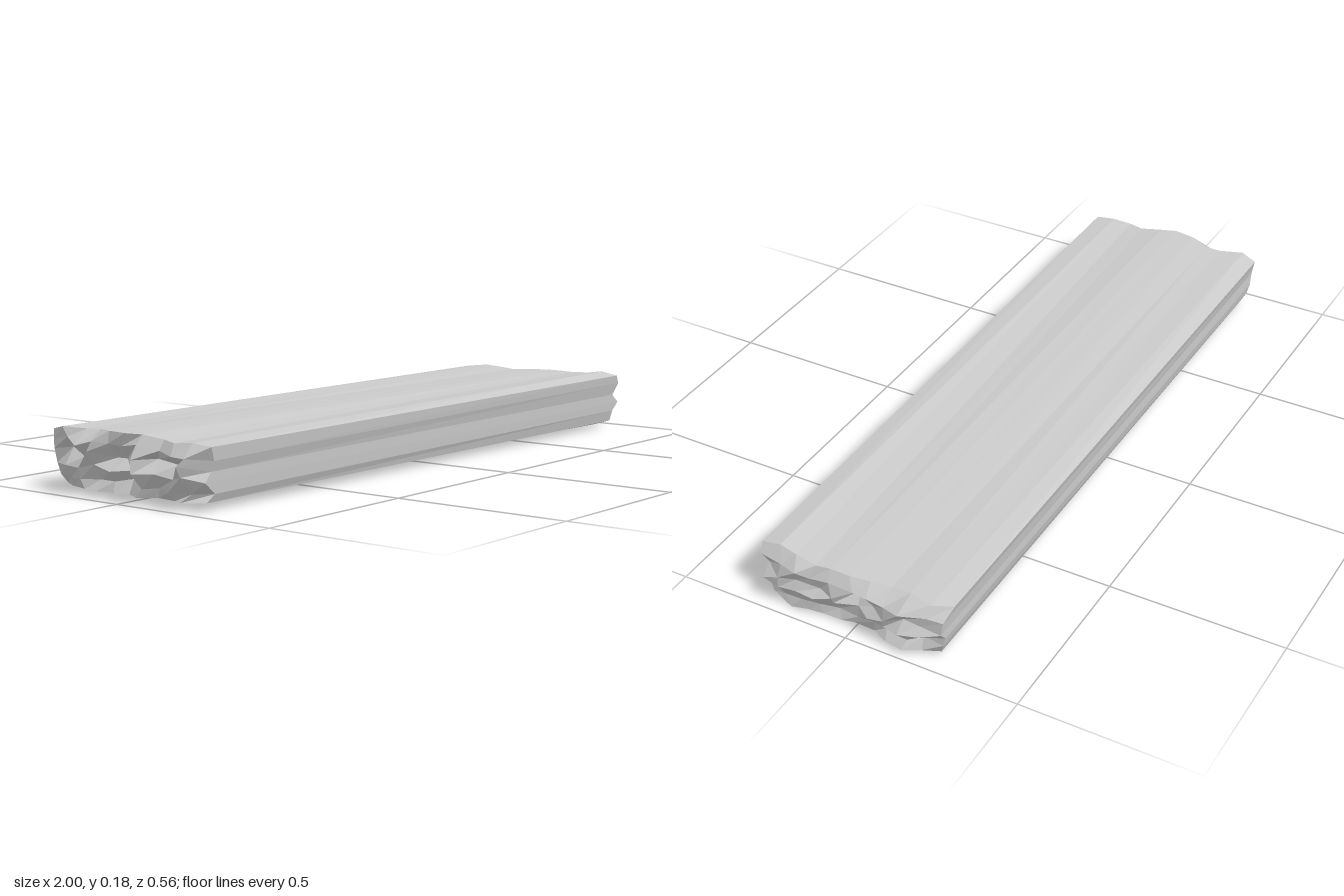
import * as THREE from 'three';

const ROWS = 5, COLS = 10;

// Broken-end outlines; columns run front (+z) to back (-z), x is the reach from the centre
const ENDS = {
  left: {
    top: [0.165, 0.17, 0.165, 0.168, 0.176, 0.177, 0.176, 0.172, 0.17, 0.172, 0.16],
    bottom: [0.022, 0.02, 0.019, 0.019, 0.018, 0.018, 0.018, 0.018, 0.018, 0.018, 0.02],
    edge: [0.955, 0.96, 0.965, 0.95, 0.96, 0.975, 0.965, 0.935, 0.94, 0.96, 0.945],
    reach: [0.96, 1, 0.985, 0.98, 0.995, 0.97, 0.98, 0.985, 0.985, 0.975, 0.955],
  },
  right: {
    top: [0.165, 0.175, 0.167, 0.163, 0.165, 0.165, 0.163, 0.16, 0.165, 0.165, 0.16],
    bottom: [0.018, 0, 0.004, 0.006, 0.008, 0.01, 0.011, 0.013, 0.015, 0.017, 0.015],
    edge: [0.94, 0.94, 0.945, 0.955, 0.95, 0.95, 0.94, 0.93, 0.93, 0.95, 0.92],
    reach: [0.975, 0.98, 0.985, 0.985, 0.98, 0.97, 0.98, 0.99, 1, 0.985, 0.97],
  },
};
// Side profiles from bottom to top
const FRONT = [0.25, 0.26, 0.263, 0.265, 0.275, 0.28];
const BACK = [-0.25, -0.262, -0.268, -0.268, -0.273, -0.28];

// Repeatable noise in 0..1
function noise(a, b, c) {
  const n = Math.sin(a * 127.1 + b * 311.7 + c * 74.7) * 43758.5453;
  return n - Math.floor(n);
}

export function createModel() {
  const group = new THREE.Group();
  group.name = 'brokenPlank';

  const geometry = new THREE.BoxGeometry(1, 1, 1, 1, ROWS, COLS);
  const pos = geometry.attributes.position;
  for (let i = 0; i < pos.count; i++) {
    const side = Math.sign(pos.getX(i));
    const row = Math.round((pos.getY(i) + 0.5) * ROWS);
    const col = Math.round((0.5 - pos.getZ(i)) * COLS);
    const end = side > 0 ? ENDS.right : ENDS.left;
    const innerRow = row > 0 && row < ROWS;
    const innerCol = col > 0 && col < COLS;
    const jitter = (k) => noise(row + k, col, side) - 0.5;

    // Splintered ends: each row of fibres snaps at a different depth
    let x = end.reach[col];
    if (row === ROWS) x = end.edge[col];
    else if (row === 0) x -= 0.015 + 0.02 * noise(7, col, side);
    else if (row !== 2 + (col % 3)) x -= 0.015 * (row % 2) + 0.025 * noise(row, col, side);

    let y = THREE.MathUtils.lerp(end.bottom[col], end.top[col], row / ROWS);
    if (innerRow) y += jitter(11) * 0.018;
    let z = THREE.MathUtils.lerp(FRONT[row], BACK[row], col / COLS);
    if (innerCol) z += jitter(23) * 0.025;
    pos.setXYZ(i, side * x, y, z);
  }
  geometry.computeVertexNormals();

  const plank = new THREE.Mesh(
    geometry,
    new THREE.MeshStandardMaterial({ color: 0xcccccc, flatShading: true })
  );
  plank.name = 'plank';
  group.add(plank);
  return group;
}
